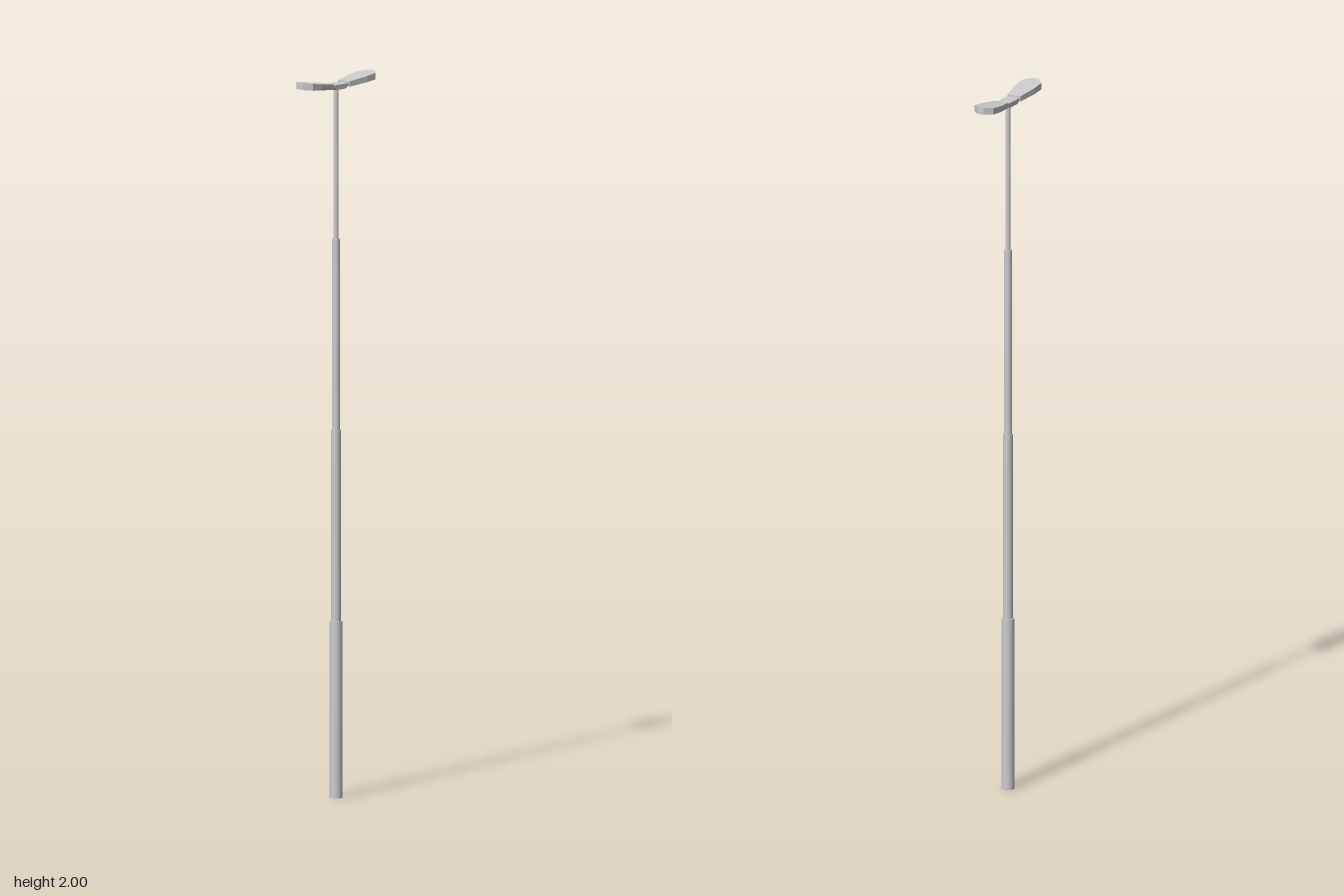
import * as THREE from 'three';

export function createModel() {
  const model = new THREE.Group();
  const smooth = new THREE.MeshStandardMaterial({ color: 0xcccccc });
  const flat = new THREE.MeshStandardMaterial({ color: 0xcccccc, flatShading: true });

  const add = (name, geometry, material) => {
    const mesh = new THREE.Mesh(geometry, material);
    mesh.name = name;
    model.add(mesh);
    return mesh;
  };

  // Stepped pole: [bottom, top, radius], each section thinner than the last
  const sections = [
    [0, 0.49, 0.018],
    [0.49, 1.02, 0.0135],
    [1.02, 1.55, 0.0115],
    [1.55, 1.972, 0.0075],
  ];
  sections.forEach(([y0, y1, r], i) => {
    const g = new THREE.CylinderGeometry(r, r, y1 - y0, 16);
    add('poleSection' + (i + 1), g, smooth).position.y = (y0 + y1) / 2;
  });

  // Hub on top of the pole, its underside tapering in
  const hubShape = new THREE.Shape([
    [-0.03, 1.98], [-0.03, 1.973], [-0.018, 1.966],
    [0.018, 1.966], [0.03, 1.973], [0.03, 1.98],
  ].map(([x, y]) => new THREE.Vector2(x, y)));
  const hub = new THREE.ExtrudeGeometry(hubShape, { depth: 0.038, bevelEnabled: false });
  hub.translate(0, 0, -0.019);
  add('hub', hub, flat);

  // Lamp head plan for the +x side, mirrored for the other
  const plan = [
    [0.033, -0.02], [0.095, -0.03], [0.132, -0.03], [0.152, -0.01],
    [0.152, 0.01], [0.132, 0.03], [0.095, 0.03], [0.033, 0.02],
  ];
  for (const [side, angle] of [['left', 0], ['right', Math.PI]]) {
    const shape = new THREE.Shape(plan.map(([x, y]) => new THREE.Vector2(x, y)));
    const head = new THREE.ExtrudeGeometry(shape, { depth: 1, bevelEnabled: false });
    head.rotateX(-Math.PI / 2);
    // Tilt the head upwards and thicken it towards the tip
    const p = head.attributes.position;
    for (let i = 0; i < p.count; i++) {
      const t = (p.getX(i) - 0.033) / 0.119;
      p.setY(i, p.getY(i) > 0.5 ? 1.984 + 0.016 * t : 1.969 + 0.012 * t);
    }
    head.computeVertexNormals();
    add(side + 'LampHead', head, flat).rotation.y = angle;

    // Short neck joining the head to the hub
    const neck = new THREE.BoxGeometry(0.012, 0.009, 0.02);
    neck.translate(0.032, 1.9755, 0);
    add(side + 'Neck', neck, flat).rotation.y = angle;
  }

  return model;
}
